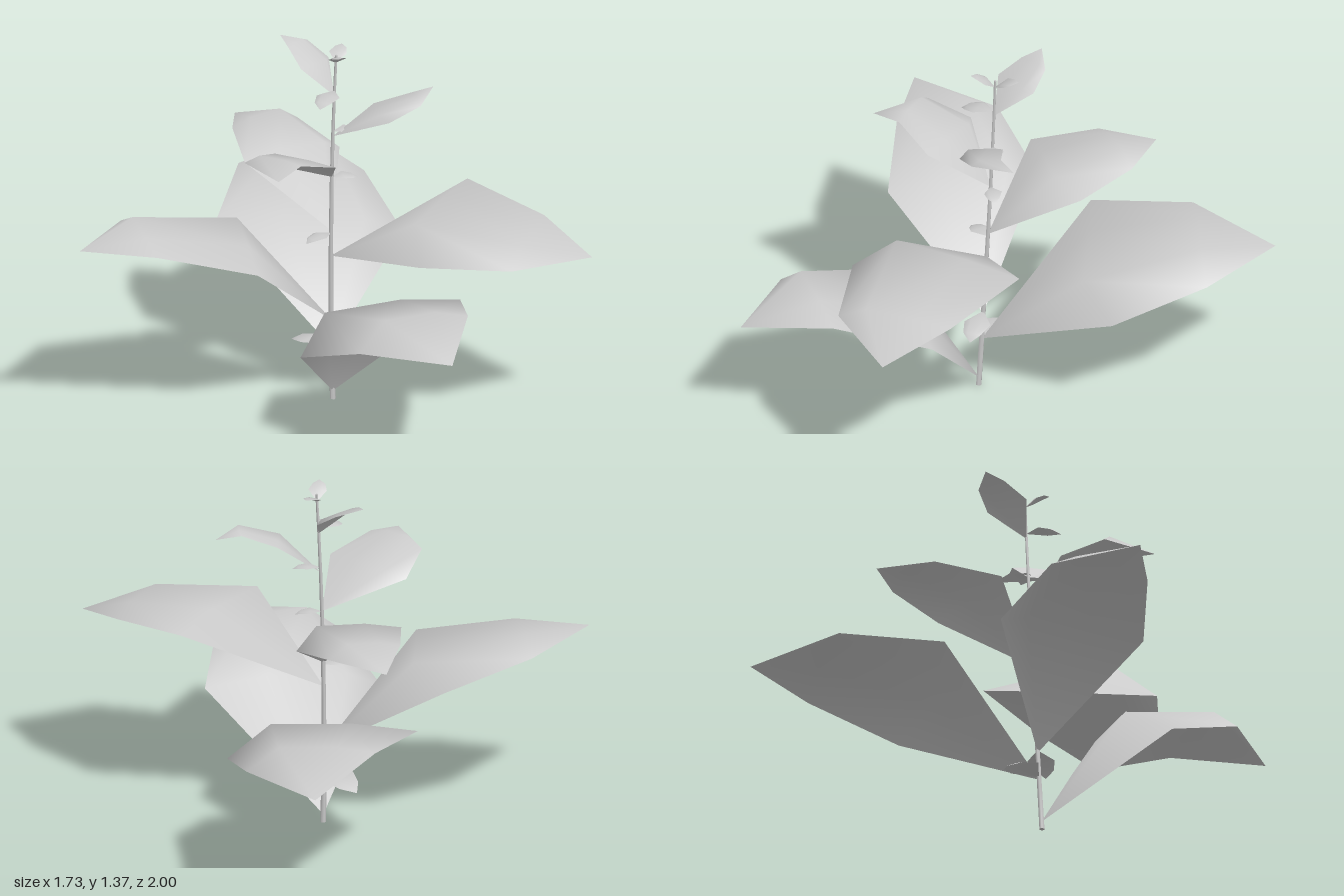
import * as THREE from 'three';

const material = new THREE.MeshStandardMaterial({ color: 0xcccccc, side: THREE.DoubleSide });

// Leaf template: base at the origin, tip on the +z axis, two arched sections between
const SECTIONS = [
  [[-0.33, 0.142, 0.475], [-0.17, 0.288, 0.422], [0.13, 0.28, 0.463], [0.36, 0.236, 0.475]],
  [[-0.25, 0.111, 0.814], [-0.13, 0.214, 0.829], [0.08, 0.207, 0.831], [0.215, 0.171, 0.815]],
];
const LENGTH = 1.049;

// Stem centre line: leans slightly as it rises
const HEIGHT = 1.35;
function stemAt(y) {
  const t = y / HEIGHT;
  return new THREE.Vector3(0.125 + 0.04 * t * t, y, 0.05 * Math.pow(Math.max(0, 1 - t), 1.6));
}

// width scales the sections, arch sets the height of each, sway shifts them sideways
function leafGeometry(width, arch, sway) {
  const rows = SECTIONS.flatMap((section, i) =>
    section.map(([x, y, z]) => [x * width + sway, y * arch[i], z]));
  const points = [[0, 0, 0], ...rows, [0, 0, LENGTH]];
  const index = [];
  for (let i = 1; i < 4; i++) {
    const a = i, b = i + 4;
    index.push(0, a, a + 1);
    index.push(a, b, a + 1, b, b + 1, a + 1);
    index.push(b, 9, b + 1);
  }
  const geometry = new THREE.BufferGeometry();
  geometry.setAttribute('position', new THREE.Float32BufferAttribute(points.flat(), 3));
  geometry.setIndex(index);
  return geometry;
}

// Places the template so that it runs from the stem at height y to the given tip
function makeLeaf(name, y, tip, { width = 1, arch = [1, 1], sway = 0, roll = 0 }) {
  const base = stemAt(y);
  const d = new THREE.Vector3(...tip).sub(base);
  const scale = d.length() / LENGTH;
  const geometry = leafGeometry(width, arch, sway);
  geometry.rotateZ(roll);
  geometry.rotateX(-Math.atan2(d.y, Math.hypot(d.x, d.z)));
  geometry.rotateY(Math.atan2(d.x, d.z));
  geometry.scale(scale, scale, scale);
  geometry.translate(base.x, base.y, base.z);
  geometry.computeVertexNormals();
  const mesh = new THREE.Mesh(geometry, material);
  mesh.name = name;
  return mesh;
}

function makeStem() {
  const geometry = new THREE.CylinderGeometry(0.005, 0.011, HEIGHT, 6, 8);
  geometry.translate(0, HEIGHT / 2, 0);
  const p = geometry.attributes.position;
  for (let i = 0; i < p.count; i++) {
    const c = stemAt(p.getY(i));
    p.setXYZ(i, p.getX(i) + c.x, p.getY(i), p.getZ(i) + c.z);
  }
  geometry.computeVertexNormals();
  const mesh = new THREE.Mesh(geometry, material);
  mesh.name = 'stem';
  return mesh;
}

export function createModel() {
  const plant = new THREE.Group();
  plant.name = 'plant';
  plant.add(makeStem());

  // Large leaves: name, height on the stem, tip, shape
  const large = [
    ['lowFrontLeaf', 0.03, [0.13, 0.475, 1.0], {}],
    ['lowBackLeaf', 0.20, [0.46, 0.565, -1.0], { arch: [0.73, 0.77], roll: 0.05, width: 0.94 }],
    ['rightSideLeaf', 0.31, [-0.865, 0.73, -0.08], { arch: [0.74, 0.57], width: 0.8, sway: -0.05, roll: -0.1 }],
    ['frontLeftLeaf', 0.56, [0.86, 0.67, 0.72], { arch: [0.77, 0.55], sway: -0.03, roll: 0.04 }],
    ['upperBackLeaf', 0.66, [0.09, 0.89, -0.67], { arch: [0.82, 0.75], width: 0.87, sway: -0.02, roll: -0.05 }],
    ['upperRightLeaf', 0.87, [-0.245, 1.037, 0.325], { arch: [0.5, 0.7], width: 0.97, sway: -0.14 }],
    ['upperLeftLeaf', 1.03, [0.535, 1.18, 0.07], { arch: [0.47, 0.5], width: 0.6, sway: -0.2 }],
    ['highBackLeaf', 1.19, [0.05, 1.37, -0.23], { arch: [0.4, 0.4], width: 0.85, sway: -0.06 }],
  ];
  for (const spec of large) plant.add(makeLeaf(...spec));

  // Small sprouts along the stem and at its top
  const small = [
    ['sprout', 0.32, [0.24, 0.27, 0.13]],
    ['sprout', 0.21, [0.05, 0.185, -0.14]],
    ['sprout', 0.65, [0.02, 0.635, 0.04]],
    ['sprout', 0.87, [0.24, 0.86, 0.03]],
    ['sprout', 1.05, [0.25, 1.045, 0.03]],
    ['sprout', 1.21, [0.05, 1.185, 0.09]],
    ['topSprout', 1.32, [0.13, 1.37, 0.085]],
    ['topSprout', 1.32, [0.225, 1.36, -0.07]],
  ];
  for (const spec of small) plant.add(makeLeaf(...spec, { arch: [0.45, 0.45] }));
  return plant;
}
